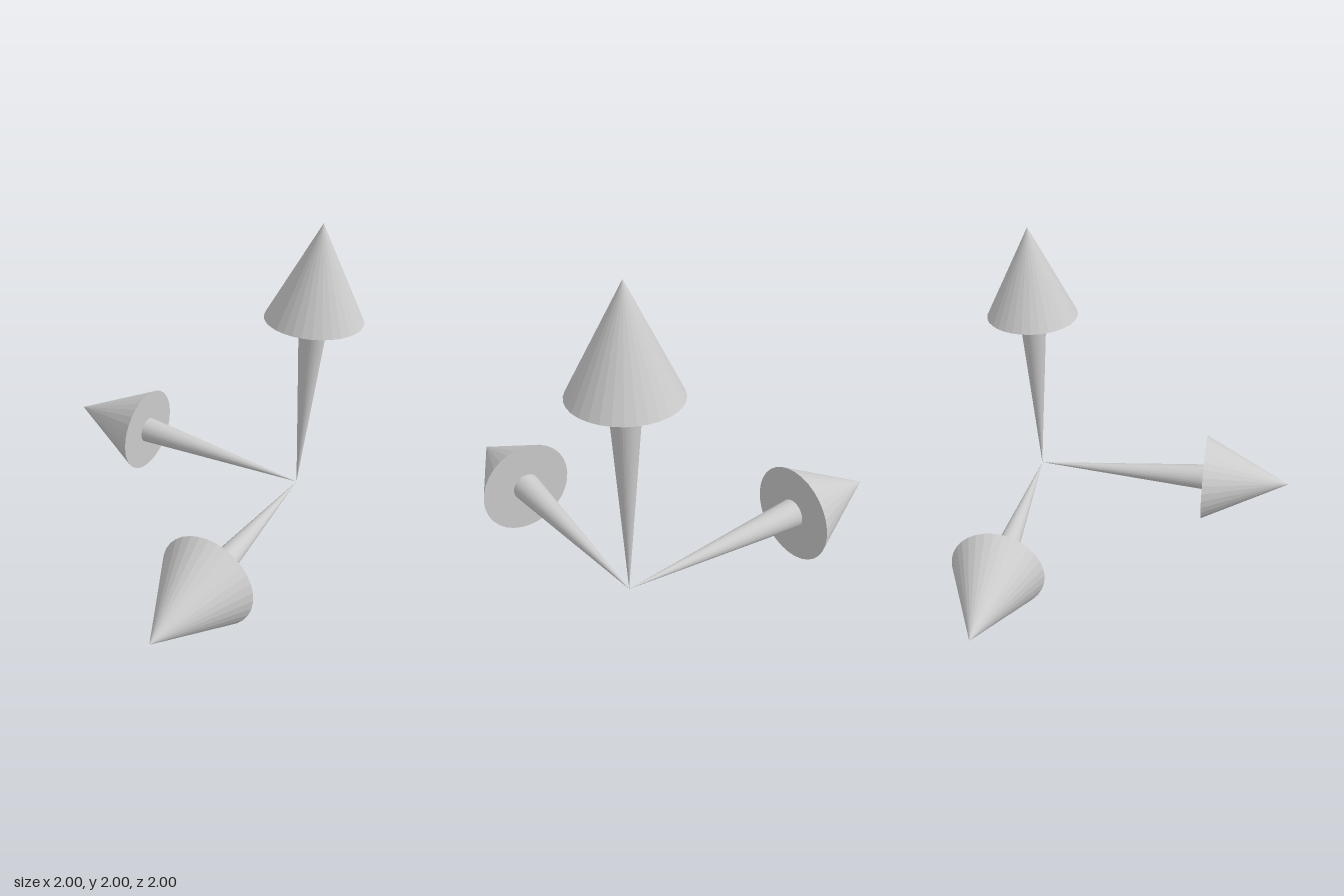
import * as THREE from 'three';

const SIDES = 32;
const SHAFT_LENGTH = 1.143, SHAFT_RADIUS = 0.086;
const HEAD_LENGTH = 0.571, HEAD_RADIUS = 0.286;

const material = new THREE.MeshStandardMaterial({ color: 0xcccccc, flatShading: true });

// One arrow along +y: a shaft widening from a point, then a conical head
function createArrow(name) {
  const arrow = new THREE.Group();
  arrow.name = name;

  const shaft = new THREE.Mesh(
    new THREE.CylinderGeometry(SHAFT_RADIUS, 0, SHAFT_LENGTH, SIDES, 1, true), material);
  shaft.name = 'shaft';
  shaft.position.y = SHAFT_LENGTH / 2;

  const head = new THREE.Mesh(
    new THREE.ConeGeometry(HEAD_RADIUS, HEAD_LENGTH, SIDES), material);
  head.name = 'head';
  head.position.y = SHAFT_LENGTH + HEAD_LENGTH / 2;

  arrow.add(shaft, head);
  return arrow;
}

export function createModel() {
  const model = new THREE.Group();
  model.name = 'axisArrows';

  // Three perpendicular arrows meeting at one corner
  const up = createArrow('upArrow');
  const right = createArrow('rightArrow');
  right.rotation.z = Math.PI / 2;
  const front = createArrow('frontArrow');
  front.rotation.x = Math.PI / 2;

  for (const arrow of [up, right, front]) {
    arrow.position.set(0.714, 0.286, -0.714);
    model.add(arrow);
  }
  return model;
}
